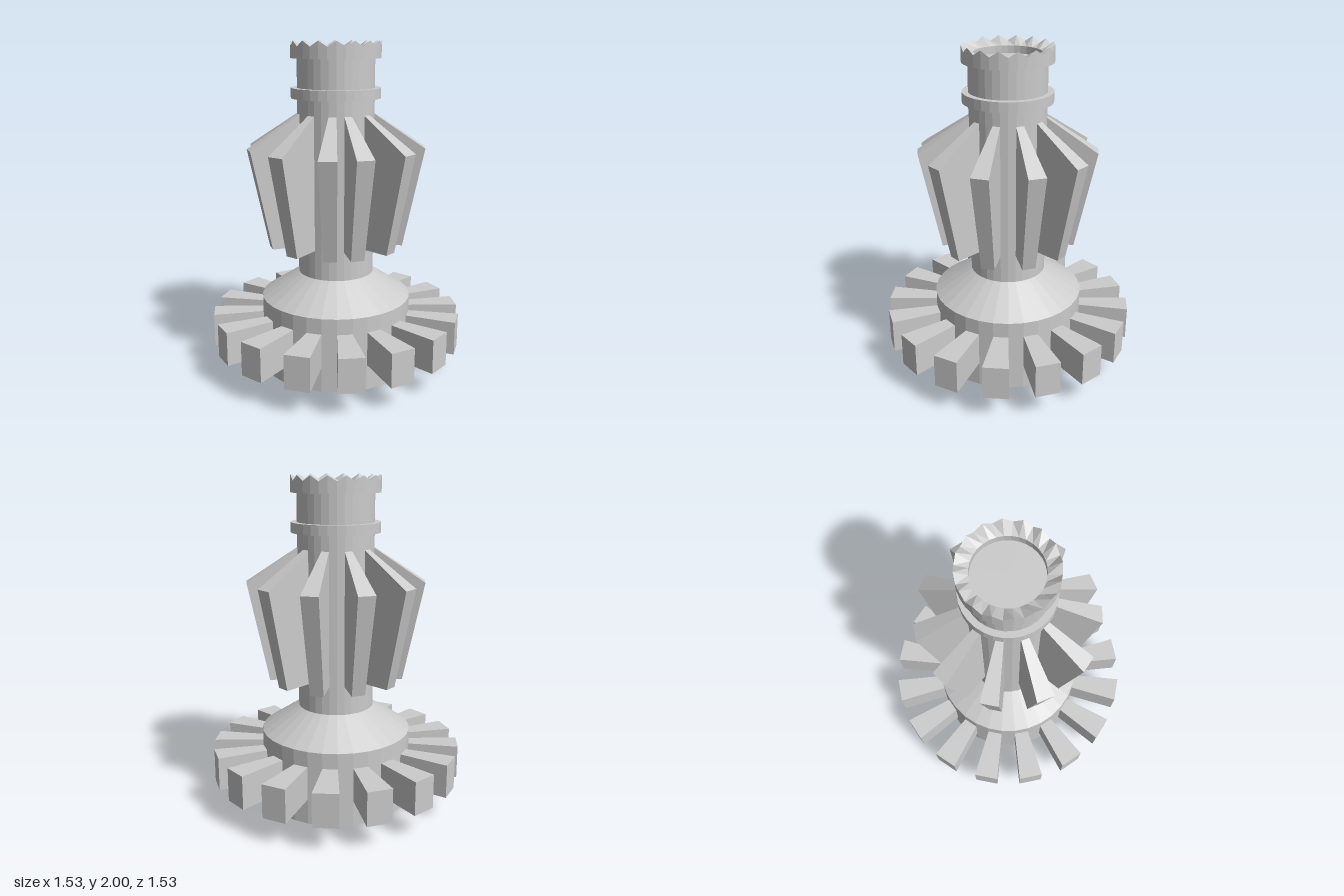
import * as THREE from 'three';

const SEGMENTS = 32;
const STEP = (Math.PI * 2) / SEGMENTS;
const material = new THREE.MeshStandardMaterial({ color: 0xcccccc, flatShading: true });

function addMesh(parent, name, geometry) {
  const mesh = new THREE.Mesh(geometry, material);
  mesh.name = name;
  parent.add(mesh);
  return mesh;
}

function lathe(profile) {
  return new THREE.LatheGeometry(profile.map(([r, y]) => new THREE.Vector2(r, y)), SEGMENTS);
}

// Convex (radius, height) profile swept through one segment of the circle
function wedge(profile) {
  const n = profile.length;
  const positions = [];
  const index = [];
  for (const angle of [0, STEP]) {
    for (const [r, y] of profile) positions.push(r * Math.sin(angle), y, r * Math.cos(angle));
  }
  for (let i = 0; i < n; i++) {
    const j = (i + 1) % n;
    index.push(i, i + n, j + n, i, j + n, j);
    if (i > 0 && i < n - 1) index.push(0, i, i + 1, n, n + i + 1, n + i);
  }
  const geometry = new THREE.BufferGeometry();
  geometry.setAttribute('position', new THREE.Float32BufferAttribute(positions, 3));
  geometry.setIndex(index);
  const flat = geometry.toNonIndexed();
  flat.computeVertexNormals();
  return flat;
}

// Copies of one wedge around the axis, starting at the given segments
function addWedges(parent, groupName, name, profile, slots) {
  const group = new THREE.Group();
  group.name = groupName;
  const geometry = wedge(profile);
  for (const slot of slots) addMesh(group, name, geometry).rotation.y = slot * STEP;
  parent.add(group);
}

export function createModel() {
  const model = new THREE.Group();
  model.name = 'gearShaft';

  // Base drum, conical shoulder, shaft and collar
  addMesh(model, 'shaftBody', lathe([
    [0, 0], [0.46, 0], [0.46, 0.455], [0.23, 0.605], [0.23, 1.67],
    [0.267, 1.67], [0.267, 1.73], [0.23, 1.73], [0.23, 1.9], [0, 1.9],
  ]));

  // Crown with a zigzag rim sloping into a shallow cup
  const crown = lathe([
    [0.22, 1.9], [0.267, 1.9], [0.267, 2], [0.195, 1.95], [0.195, 1.905], [0, 1.905],
  ]);
  const position = crown.attributes.position;
  for (let i = 0; i < position.count; i++) {
    const segment = Math.floor(i / 6);
    if (i % 6 === 2 && segment % 2 === 1) position.setY(i, 1.968);
  }
  const crownFlat = crown.toNonIndexed();
  crownFlat.computeVertexNormals();
  addMesh(model, 'crown', crownFlat);

  // Sixteen gear teeth around the base
  addWedges(model, 'gearTeeth', 'gearTooth',
    [[0.42, 0.155], [0.765, 0.155], [0.765, 0.36], [0.42, 0.36]],
    Array.from({ length: 16 }, (_, i) => i * 2));

  // Eleven tapered fins, snapped to the shaft's segments
  addWedges(model, 'fins', 'fin',
    [[0.2, 0.78], [0.41, 0.78], [0.535, 1.38], [0.23, 1.58], [0.2, 1.58]],
    [0, 3, 6, 9, 12, 15, 18, 21, 24, 27, 29]);

  return model;
}
